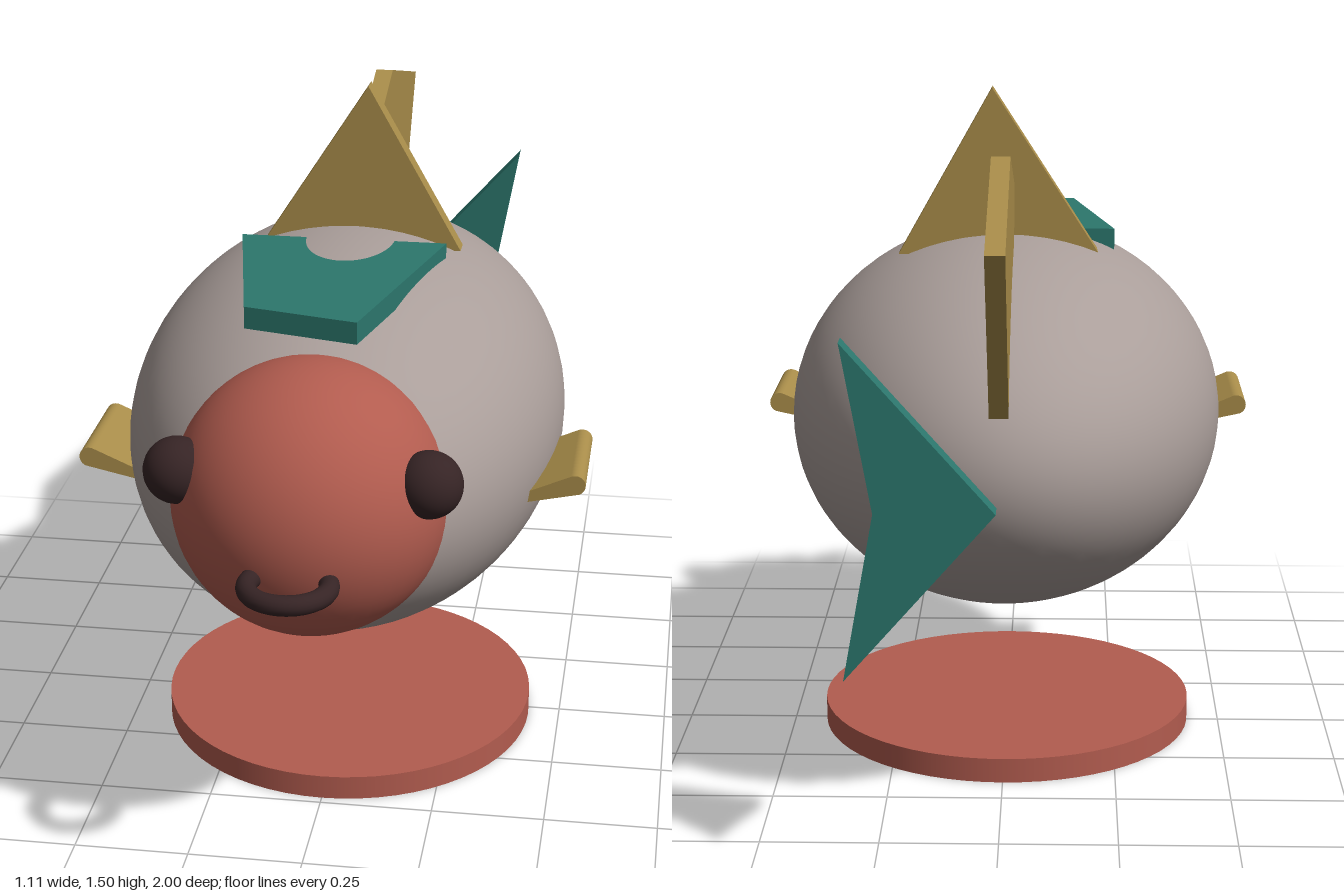
import * as THREE from 'three';

const paint = (name, color) => {
  const m = new THREE.MeshStandardMaterial({ color });
  m.name = name;
  return m;
};

export function createModel() {
  const model = new THREE.Group();
  model.name = 'fish';

  const grey = paint('warm grey', 0xaa9e9a);
  const red = paint('brick red', 0xb25c4f);
  const gold = paint('dull gold', 0xa98d4a);
  const teal = paint('teal', 0x2c776d);
  const dark = paint('dark brown', 0x362425);

  const add = (name, geometry, material, x = 0, y = 0, z = 0) => {
    const mesh = new THREE.Mesh(geometry, material);
    mesh.name = name;
    mesh.position.set(x, y, z);
    model.add(mesh);
    return mesh;
  };

  // Extrudes a shape along z, centred on its own thickness
  const slab = (shape, depth) =>
    new THREE.ExtrudeGeometry(shape, { depth, bevelEnabled: false, curveSegments: 16 })
      .translate(0, 0, -depth / 2);
  const polygon = (points) => new THREE.Shape(points.map(([x, y]) => new THREE.Vector2(x, y)));

  // Body and head
  add('body', new THREE.SphereGeometry(1, 64, 40).scale(0.487, 0.416, 0.78), grey, 0, 0.763, 0.02);
  add('head', new THREE.SphereGeometry(0.294, 48, 32), red, 0, 0.797, 0.59);

  // Ring mouth lying flat
  add('mouth', new THREE.TorusGeometry(0.083, 0.021, 16, 48).rotateX(Math.PI / 2), dark, 0, 0.731, 0.891);

  // Side fin profile: a sloping slab with a rounded outer edge
  const r = 0.0225, tip = [0.535, 0.745], root = [0.33, 0.655];
  const slope = Math.atan2(tip[1] - root[1], tip[0] - root[0]);
  const nx = -Math.sin(slope) * r, ny = Math.cos(slope) * r;
  const finShape = new THREE.Shape();
  finShape.moveTo(root[0] - nx, root[1] - ny);
  finShape.absarc(tip[0], tip[1], r, slope - Math.PI / 2, slope + Math.PI / 2, false);
  finShape.lineTo(root[0] + nx, root[1] + ny);
  const finGeometry = slab(finShape, 0.26);

  // Eyes and side fins, one per side
  for (const [side, s] of [['left', 1], ['right', -1]]) {
    add(side + 'Eye', new THREE.SphereGeometry(0.07, 32, 24), dark, s * 0.259, 0.887, 0.705);
    const fin = add(side + 'SideFin', finGeometry, gold, 0, 0, 0.222);
    if (s < 0) fin.rotation.y = Math.PI;
  }

  // Upright triangular fin across the back
  add('crossFin', slab(polygon([[-0.21, 1.13], [0.24, 1.13], [0.03, 1.502]]), 0.047),
    gold, 0, 0, -0.063);

  // Large back fin along the centre line, drawn as (z, y)
  add('backFin', slab(polygon([
    [-0.083, 1.285], [-0.535, 1.41], [-1.0, 1.285], [-0.685, 0.865], [-0.25, 1.03],
  ]), 0.04).rotateY(-Math.PI / 2), gold);

  // Flat back plate, drawn as (x, z); the top of the body rises through it
  add('backPlate', slab(polygon([
    [-0.245, 0.03], [0.215, 0.03], [0.09, 0.555], [-0.155, 0.495],
  ]), 0.048).rotateX(Math.PI / 2), teal, 0, 1.146, 0);

  // Notched tail
  add('tail', slab(polygon([[0, 0.765], [0.302, 0.422], [0.24, 0.765], [0.302, 1.105]]), 0.052),
    teal, 0, 0, -0.913);

  // Base disc
  add('base', new THREE.CylinderGeometry(1, 1, 0.055, 64).scale(0.428, 1, 0.445), red, 0, 0.0275, 0.035);

  return model;
}
